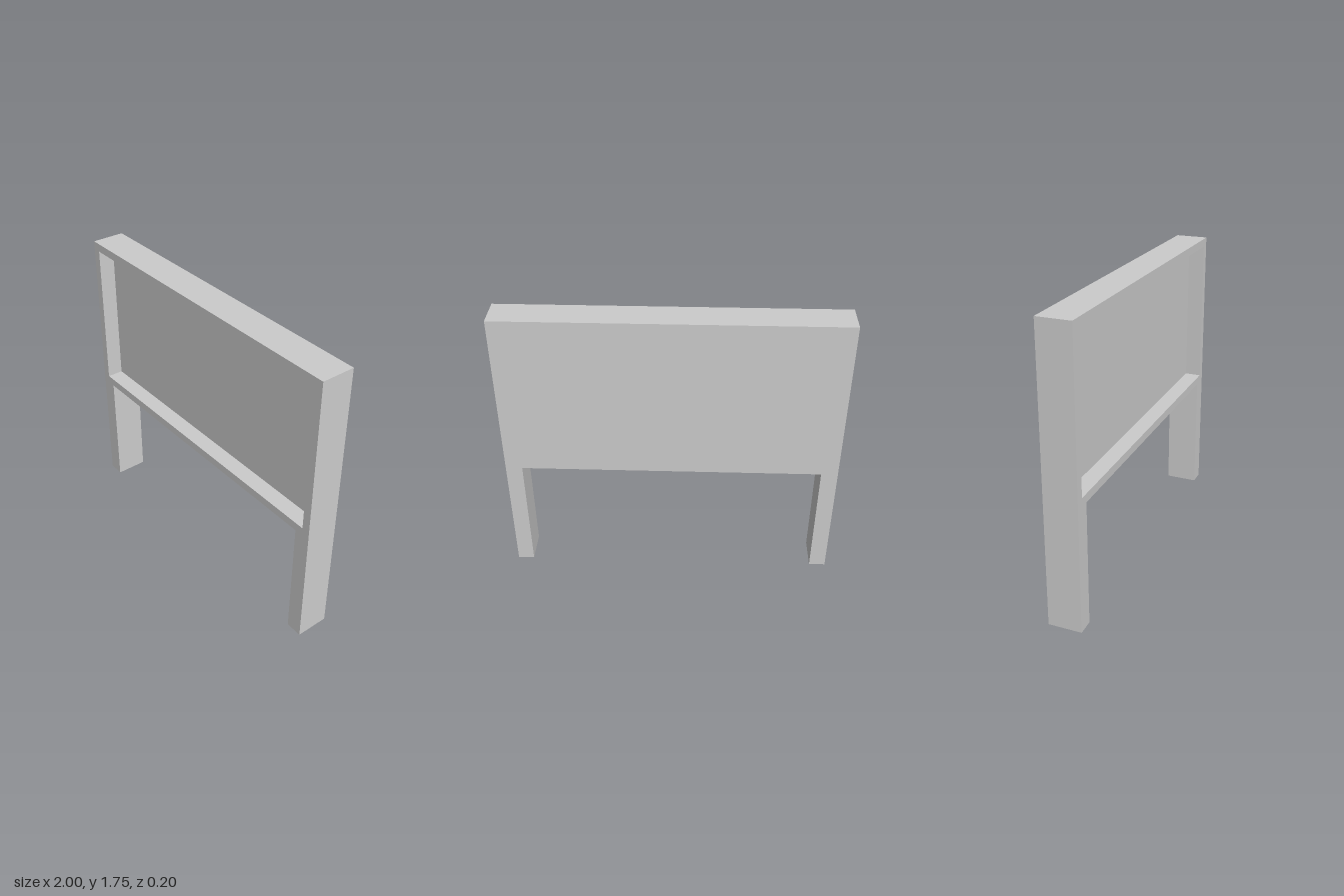
import * as THREE from 'three';

const W = 2, H = 1.75, D = 0.2;          // overall size
const LEG_W = 0.1, LEG_H = 0.75;         // legs below the board
const RIM = 0.05, RECESS = 0.1;          // border width and recess depth

export function createModel() {
  const model = new THREE.Group();
  model.name = 'boardOnLegs';
  const material = new THREE.MeshStandardMaterial({ color: 0xcccccc, flatShading: true });

  const add = (name, geometry, x = 0, y = 0, z = 0) => {
    const mesh = new THREE.Mesh(geometry, material);
    mesh.name = name;
    mesh.position.set(x, y, z);
    model.add(mesh);
  };

  // Frame and both legs in one outline, with the board opening cut out
  const x = W / 2, inner = x - LEG_W;
  const outline = new THREE.Shape([
    [-x, 0], [-inner, 0], [-inner, LEG_H], [inner, LEG_H],
    [inner, 0], [x, 0], [x, H], [-x, H],
  ].map(([px, py]) => new THREE.Vector2(px, py)));

  const hx = x - RIM, bottom = LEG_H + RIM, top = H - RIM;
  outline.holes.push(new THREE.Path([
    [-hx, bottom], [-hx, top], [hx, top], [hx, bottom],
  ].map(([px, py]) => new THREE.Vector2(px, py))));

  add('frameWithLegs', new THREE.ExtrudeGeometry(outline, { depth: D, bevelEnabled: false }), 0, 0, -D / 2);

  // Panel set back from the front, flush with the back
  const panelDepth = D - RECESS;
  add('panel', new THREE.BoxGeometry(2 * hx, top - bottom, panelDepth),
    0, (top + bottom) / 2, -D / 2 + panelDepth / 2);

  return model;
}
